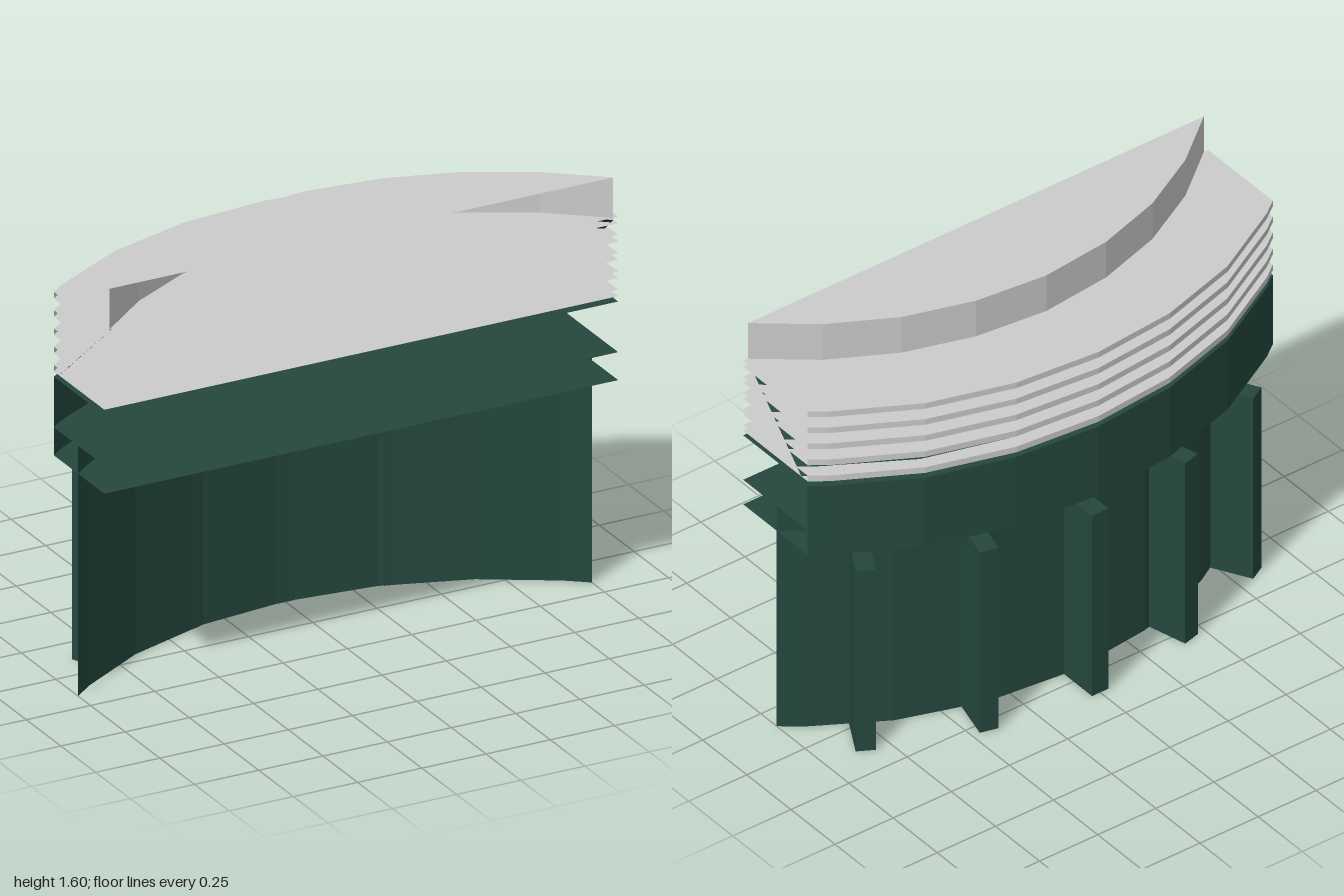
import * as THREE from 'three';

const GREEN = new THREE.MeshStandardMaterial({ color: 0x25483e, flatShading: true, side: THREE.DoubleSide });
const GREY = new THREE.MeshStandardMaterial({ color: 0xcccccc, flatShading: true, side: THREE.DoubleSide });

// Mirror half an arc, listed from the middle outwards as [x, z]
const arc = (half) => [...half.slice(1).reverse().map(([x, z]) => [-x, z]), ...half];

const OUTER = arc([[0, -0.345], [0.33, -0.315], [0.65, -0.22], [0.94, -0.06], [1, -0.015]]);
const CAP = arc([[0, -0.05], [0.28, -0.02], [0.54, 0.06], [0.78, 0.19], [0.98, 0.35]]);
const SLOPE_FOOT = arc([[0, -0.325], [0.33, -0.29], [0.65, -0.2], [0.94, -0.03], [1, 0.01]]);
const WALL = arc([[0, -0.2], [0.34, -0.163], [0.66, -0.055], [0.92, 0.098], [1, 0.16]]);
const FRONT_Z = 0.35;

export function createModel() {
  const model = new THREE.Group();

  const add = (name, geometry, material, parent = model) => {
    const mesh = new THREE.Mesh(geometry, material);
    mesh.name = name;
    parent.add(mesh);
    return mesh;
  };

  // Open strip of panels between a lower and an upper arc
  const strip = (lower, y0, upper, y1) => {
    const pos = [], index = [];
    lower.forEach(([x, z], i) => {
      pos.push(x, y0, z, upper[i][0], y1, upper[i][1]);
      if (i) {
        const a = 2 * i - 2;
        index.push(a, a + 1, a + 2, a + 2, a + 1, a + 3);
      }
    });
    const g = new THREE.BufferGeometry();
    g.setAttribute('position', new THREE.Float32BufferAttribute(pos, 3));
    g.setIndex(index);
    g.computeVertexNormals();
    return g;
  };

  // Flat sheet from an arc to the straight front edge
  const sheet = (points, y) => {
    const outline = points.map(([x, z]) => new THREE.Vector2(x, -z));
    const end = points[points.length - 1];
    if (end[1] < FRONT_Z) {
      outline.push(new THREE.Vector2(end[0], -FRONT_Z), new THREE.Vector2(-end[0], -FRONT_Z));
    }
    return new THREE.ShapeGeometry(new THREE.Shape(outline)).rotateX(-Math.PI / 2).translate(0, y, 0);
  };

  // Curved lower wall
  add('lowerWall', strip(WALL, 0, WALL, 0.94), GREEN);
  add('wallTopSheet', sheet(OUTER, 0.94), GREEN);

  // Radial fins through the lower wall
  const fins = new THREE.Group();
  fins.name = 'fins';
  model.add(fins);
  for (let i = -2; i <= 2; i++) {
    const angle = i * THREE.MathUtils.degToRad(14.6);
    const fin = add('fin', new THREE.BoxGeometry(0.07, 0.77, 0.16), GREEN, fins);
    const r = 1.72 - 0.075;
    fin.position.set(r * Math.sin(angle), 0.385, 1.37 - r * Math.cos(angle));
    fin.rotation.y = -angle;
  }

  // Projecting band with sheets above and below
  add('band', strip(OUTER, 0.835, OUTER, 1.13), GREEN);
  add('bandBottom', sheet(OUTER, 0.835), GREEN);
  add('bandTop', sheet(OUTER, 1.13), GREEN);

  // Sloped wall leaning forward behind the slats
  add('slopedWall', strip(SLOPE_FOOT, 1.14, CAP, 1.44), GREEN);

  // Horizontal slats, rimmed along the curved side only
  for (let i = 0; i < 5; i++) {
    const y0 = 1.15 + i * 0.0685, y1 = y0 + 0.024;
    const slat = new THREE.Group();
    slat.name = 'slat';
    model.add(slat);
    add('slatRim', strip(OUTER, y0, OUTER, y1), GREY, slat);
    add('slatBottom', sheet(OUTER, y0), GREY, slat);
    add('slatTop', sheet(OUTER, y1), GREY, slat);
  }

  // Cap, open to the front
  add('capWall', strip(CAP, 1.44, CAP, 1.6), GREY);
  add('capTop', sheet(CAP, 1.6), GREY);

  return model;
}
